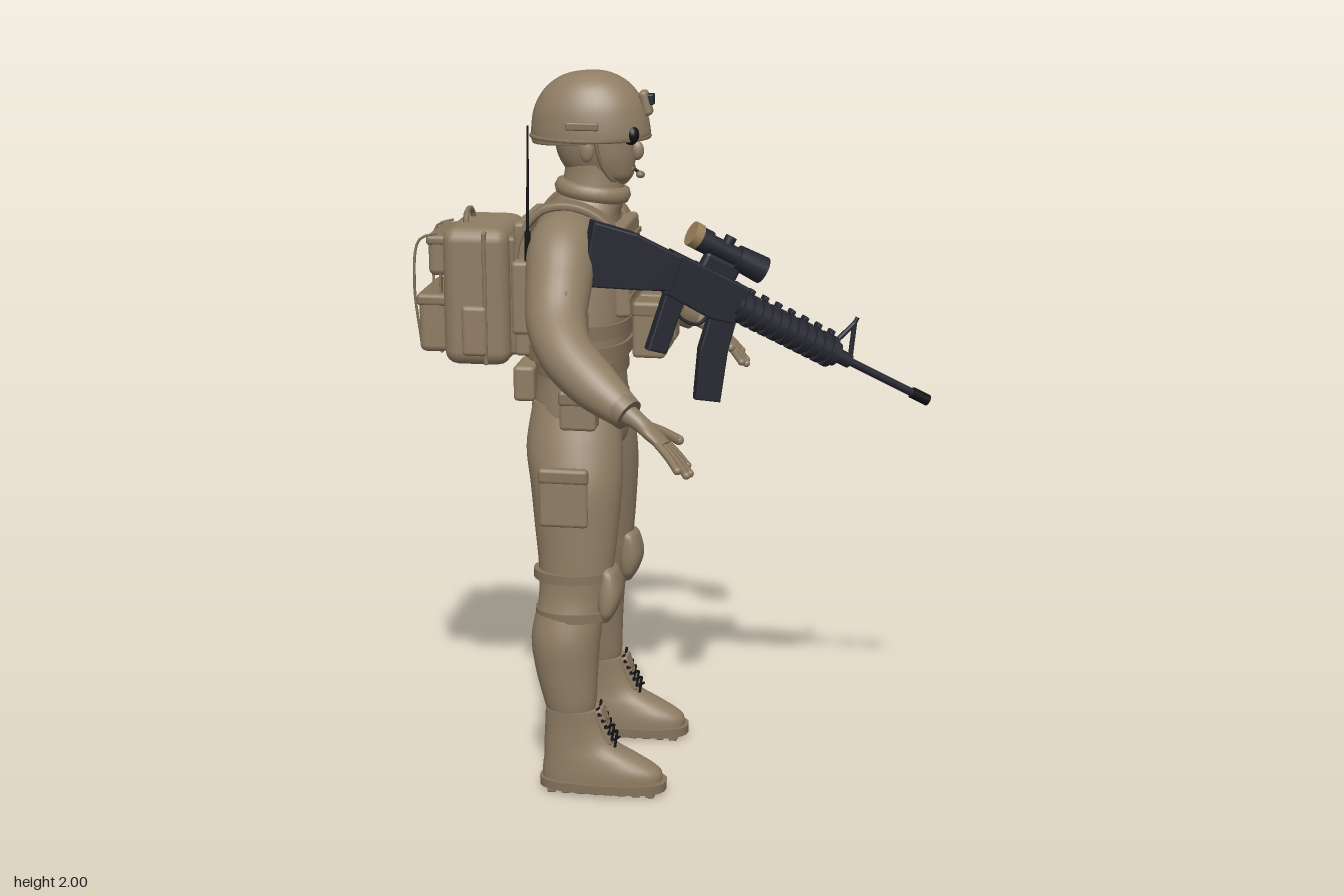
import * as THREE from 'three';
import { RoundedBoxGeometry } from 'three/addons/geometries/RoundedBoxGeometry.js';

const V = (x, y, z) => new THREE.Vector3(x, y, z);
const mat = (name, color) => { const m = new THREE.MeshStandardMaterial({ color }); m.name = name; return m; };

// Smooth body through sections [x, y, z, radiusA, radiusB]; A lies along ref.
// With level = true every ring stays horizontal. pow > 2 makes rings boxier.
function loft(sections, { level = false, ref = V(1, 0, 0), pow = 2, steps = 5, n = 28 } = {}) {
  const path = new THREE.CatmullRomCurve3(sections.map(s => V(s[0], s[1], s[2])), false, 'centripetal');
  const radii = new THREE.CatmullRomCurve3(sections.map((s, i) => V(s[3], s[4], i * 0.1)), false, 'centripetal');
  const count = (sections.length - 1) * steps, pos = [], idx = [];
  const shape = c => Math.sign(c) * Math.abs(c) ** (2 / pow);
  for (let i = 0; i <= count; i++) {
    const p = path.getPoint(i / count), r = radii.getPoint(i / count);
    const up = sections[sections.length - 1][1] > sections[0][1] ? 1 : -1;
    const t = level ? V(0, up, 0) : path.getTangent(i / count);
    const a = ref.clone().addScaledVector(t, -ref.dot(t)).normalize(), b = t.clone().cross(a);
    for (let j = 0; j < n; j++) {
      const q = j / n * Math.PI * 2;
      pos.push(...p.clone().addScaledVector(a, shape(Math.cos(q)) * r.x).addScaledVector(b, shape(Math.sin(q)) * r.y).toArray());
      if (i < count) {
        const k = i * n + j, l = i * n + (j + 1) % n;
        idx.push(k, l, k + n, l, l + n, k + n);
      }
    }
  }
  // End caps with their own rings, so the rims stay crisp
  for (const end of [0, count]) {
    const base = pos.length / 3;
    pos.push(...pos.slice(end * n * 3, (end + 1) * n * 3), ...path.getPoint(end / count).toArray());
    for (let j = 0; j < n; j++) {
      const k = base + j, l = base + (j + 1) % n;
      idx.push(base + n, ...(end ? [k, l] : [l, k]));
    }
  }
  const g = new THREE.BufferGeometry();
  g.setAttribute('position', new THREE.Float32BufferAttribute(pos, 3));
  g.setIndex(idx);
  g.computeVertexNormals();
  return g;
}

export function createModel() {
  const tan = mat('tan cloth', 0x8f7d64), strapTan = mat('strap tan', 0x85745c);
  const gun = mat('gunmetal', 0x262731), black = mat('black', 0x121216), brass = mat('scope tan', 0x9a8058);
  const root = new THREE.Group();
  let parent = root;
  const add = (name, geo, m = tan) => { const o = new THREE.Mesh(geo, m); o.name = name; parent.add(o); return o; };
  const box = (name, w, h, d, x, y, z, m = tan, r = 0.012) => {
    const o = add(name, new RoundedBoxGeometry(w, h, d, 2, Math.min(r, w / 2.1, h / 2.1, d / 2.1)), m);
    o.position.set(x, y, z); return o;
  };
  const rod = (name, a, b, r, m = tan, r2 = r, n = 12) => {
    const o = add(name, new THREE.CylinderGeometry(r2, r, a.distanceTo(b), n), m);
    o.position.copy(a).lerp(b, 0.5);
    o.quaternion.setFromUnitVectors(V(0, 1, 0), b.clone().sub(a).normalize()); return o;
  };
  const wire = (name, pts, r, m = tan) => add(name, new THREE.TubeGeometry(new THREE.CatmullRomCurve3(pts), 20, r, 6), m);
  const ball = (name, rx, ry, rz, x, y, z, m = tan) => {
    const o = add(name, new THREE.SphereGeometry(1, 28, 18), m);
    o.scale.set(rx, ry, rz); o.position.set(x, y, z); return o;
  };

  // Torso and neck
  add('torso', loft([[-.26, .92, 0, .07, .05], [-.265, .98, 0, .13, .15], [-.265, 1.06, 0, .135, .178], [-.26, 1.2, 0, .122, .165],
    [-.265, 1.38, 0, .13, .165], [-.265, 1.5, 0, .135, .195], [-.26, 1.6, 0, .11, .16], [-.235, 1.65, 0, .095, .09], [-.22, 1.72, 0, .082, .072],
    [-.22, 1.8, 0, .08, .07]], { level: true, n: 36 }));
  const collar = add('collar', new THREE.TorusGeometry(.078, .018, 8, 28));
  collar.rotation.set(Math.PI / 2, -.15, 0); collar.scale.set(1.1, .98, 1.3); collar.position.set(-.225, 1.675, 0);

  // Vest with waist bands, chest webbing and magazine pouches
  add('vest', loft([[-.265, 1.22, 0, .138, .172], [-.267, 1.3, 0, .145, .178], [-.267, 1.42, 0, .145, .172], [-.27, 1.52, 0, .14, .165]],
    { level: true, pow: 2.7, n: 36 }));
  for (const y of [1.25, 1.31]) add('waistBand', loft([[-.266, y - .02, 0, .149, .182], [-.266, y + .02, 0, .151, .184]], { level: true, pow: 2.7, n: 36 }), strapTan);
  box('chestPlate', .045, .25, .24, -.132, 1.47, 0).rotation.z = .07;
  box('backPlate', .045, .37, .3, -.395, 1.42, 0);
  for (let i = 0; i < 5; i++) box('webbing', .012, .016, .22, -.107 - i * .002, 1.4 + i * .037, 0, strapTan, .004);
  box('chestPouch', .03, .06, .1, -.105, 1.5, -.05);
  for (const z of [-.1, 0, .1]) {
    box('magazinePouch', .09, .14, .082, -.05, 1.31, z);
    box('pouchFlap', .1, .045, .086, -.046, 1.375, z, strapTan);
    box('pouchTab', .012, .05, .03, .004, 1.345, z, strapTan, .004);
  }

  // Head, face and helmet
  ball('skull', .108, .125, .084, -.22, 1.82, 0);
  add('jaw', loft([[-.165, 1.695, 0, .035, .03], [-.18, 1.72, 0, .068, .058], [-.19, 1.77, 0, .083, .075], [-.195, 1.84, 0, .085, .08]], { level: true }));
  ball('nose', .02, .027, .014, -.103, 1.785, 0);
  box('mouth', .012, .012, .045, -.115, 1.737, 0, strapTan, .005);
  const shell = [[.001, .155], [.06, .147], [.112, .117], [.146, .07], [.16, .02], [.163, -.025], [.154, -.027]].map(p => new THREE.Vector2(p[0], p[1]));
  const helmet = add('helmet', new THREE.LatheGeometry(new THREE.SplineCurve(shell.reverse()).getPoints(30), 44));
  helmet.material.side = THREE.DoubleSide;
  helmet.scale.z = .76; helmet.position.set(-.23, 1.845, 0); helmet.rotation.z = .08;
  const rim = add('helmetRim', new THREE.TorusGeometry(.161, .006, 6, 44), strapTan);
  rim.rotation.set(Math.PI / 2, -.08, 0, 'ZYX'); rim.rotation.set(Math.PI / 2, .08, 0); rim.scale.y = .76; rim.position.set(-.23, 1.824, 0);
  box('helmetMount', .025, .07, .045, -.077, 1.915, 0).rotation.z = .25;
  box('mountClip', .022, .03, .03, -.065, 1.925, 0, gun, .005);
  box('goggleBridge', .02, .022, .05, -.103, 1.842, 0, black, .006);
  for (const s of [-1, 1]) {
    const lens = ball('goggleLens', .024, .031, .045, -.113, 1.838, s * .043, black); lens.rotation.y = s * .35;
    rod('goggleArm', V(-.125, 1.845, s * .078), V(-.23, 1.835, s * .09), .007, black);
    ball('ear', .02, .032, .012, -.225, 1.795, s * .084);
    wire('chinStrap', [V(-.2, 1.84, s * .1), V(-.19, 1.77, s * .085), V(-.165, 1.715, s * .055), V(-.14, 1.695, 0)], .006, strapTan);
    box('helmetRail', .09, .022, .012, -.23, 1.865, s * .123, strapTan, .005);
  }
  wire('microphoneBoom', [V(-.2, 1.79, -.09), V(-.14, 1.735, -.08), V(-.1, 1.715, -.035)], .005, gun);
  ball('microphone', .012, .01, .016, -.098, 1.714, -.03, strapTan);

  for (const s of [-1, 1]) {
    // Arms
    add('sleeve', loft([[-.275, 1.575, s * .1, .085, .07], [-.272, 1.545, s * .2, .093, .088], [-.265, 1.47, s * .285, .088, .083], [-.255, 1.39, s * .37, .08, .072],
      [-.215, 1.325, s * .445, .073, .069], [-.13, 1.26, s * .51, .066, .06], [-.04, 1.205, s * .56, .045, .043]], { steps: 8 }));
    rod('cuff', V(-.055, 1.214, s * .552), V(-.03, 1.199, s * .565), .047, strapTan, .044, 20);
    box('shoulderPatch', .075, .085, .012, -.26, 1.49, s * .355, strapTan, .005).rotation.set(s * -.85, 0, 0);
    // Hands
    add('palm', loft([[-.045, 1.208, s * .558, .03, .028], [0, 1.18, s * .568, .022, .027], [.03, 1.157, s * .575, .019, .04], [.065, 1.128, s * .585, .014, .036]],
      { ref: V(.6, .8, 0) }));
    for (let f = 0; f < 4; f++) {
      const o = (f - 1.5) * .021, reach = [.9, 1.05, 1, .75][f];
      wire('finger', [V(.05, 1.14, s * (.583 + o * .9)), V(.05 + .038 * reach, 1.14 - .036 * reach, s * (.587 + o * 1.2)),
        V(.05 + .075 * reach, 1.14 - .082 * reach, s * (.59 + o * 1.5))], .0105);
      ball('fingertip', .011, .011, .011, .05 + .075 * reach, 1.14 - .082 * reach, s * (.59 + o * 1.5));
    }
    wire('thumb', [V(.005, 1.175, s * .56), V(.045, 1.15, s * .525), V(.09, 1.12, s * .5)], .013);
    ball('thumbTip', .013, .013, .013, .09, 1.12, s * .5);

    // Trousers, with a fuller calf bloused over the boot
    add('trouserLeg', loft([[-.262, 1.1, s * .08, .12, .085], [-.262, .98, s * .107, .134, .103], [-.253, .88, s * .13, .128, .108], [-.25, .76, s * .148, .117, .095],
      [-.25, .64, s * .165, .104, .081], [-.258, .56, s * .175, .096, .076], [-.275, .45, s * .192, .097, .087], [-.272, .35, s * .2, .087, .076],
      [-.262, .26, s * .207, .073, .062], [-.26, .21, s * .208, .06, .05]], { level: true }));
    box('cargoPocket', .135, .16, .024, -.27, .86, s * .235);
    box('cargoFlap', .14, .045, .03, -.27, .925, s * .235, strapTan);
    // Knee pad and its straps
    const pad = add('kneePad', loft([[-.165, .5, s * .18, .014, .035], [-.158, .53, s * .177, .026, .055], [-.152, .58, s * .172, .034, .06],
      [-.155, .64, s * .167, .022, .052], [-.162, .655, s * .166, .012, .035]], { level: true, pow: 2.6 }));
    for (const [y, c, rx, rz] of [[.52, .18, .105, .084], [.63, .167, .111, .088]])
      add('kneeStrap', loft([[-.257, y - .013, s * c, rx, rz], [-.257, y + .013, s * c, rx, rz]], { level: true }), strapTan);

    // Boots with treaded sole and laces
    add('bootUpper', loft([[-.172, .03, s * .208, .172, .066], [-.175, .065, s * .208, .168, .066], [-.2, .1, s * .208, .138, .062], [-.235, .14, s * .208, .102, .056],
      [-.25, .19, s * .208, .084, .055], [-.256, .245, s * .208, .075, .058]], { level: true, pow: 2.4 }));
    add('bootSole', loft([[-.17, .012, s * .208, .18, .072], [-.17, .038, s * .208, .181, .073]], { level: true, pow: 2.6 }), strapTan);
    for (let i = 0; i < 8; i++) box('tread', .025, .02, .1, -.31 + i * .04, .01, s * .208, strapTan, .004);
    box('bootTongue', .025, .11, .06, -.165, .195, s * .208, tan, .008).rotation.z = .32;
    for (let i = 0; i < 6; i++) for (const k of [-1, 1]) {
      const x = -.13 - i * .009, y = .145 + i * .018;
      rod('lace', V(x, y, s * .208 - k * .036), V(x - .006, y + .018, s * .208 + k * .036), .004, black, .004, 6);
    }

    // Shoulder straps from pack to vest
    add('shoulderStrap', loft([[-.41, 1.45, s * .125, .03, .008], [-.4, 1.56, s * .125, .03, .01], [-.34, 1.638, s * .12, .03, .012], [-.25, 1.648, s * .115, .03, .012],
      [-.16, 1.6, s * .112, .03, .01], [-.125, 1.5, s * .11, .028, .008]], { ref: V(0, 0, 1), pow: 4 }), strapTan);
    box('sidePouch', .09, .1, .04, -.25, 1.33, s * .19);
    // Hip pouches
    box('hipPouch', .1, .11, .07, -.225, 1.135 + (s < 0 ? .045 : -.02), s * .225);
    box('hipPouchFlap', .106, .045, .076, -.225, 1.17 + (s < 0 ? .045 : -.02), s * .225, strapTan);
    box('packSidePouch', .07, .14, .03, -.53, 1.3, s * .14);
    box('packStrap', .006, .33, .022, -.634, 1.39, s * .09, strapTan, .002);
    wire('packCord', [V(-.64, 1.56, s * .1), V(-.69, 1.54, s * .1), V(-.705, 1.42, s * .105), V(-.69, 1.25, s * .1)], .004, strapTan);
  }
  add('belt', loft([[-.26, 1.175, 0, .13, .174], [-.26, 1.215, 0, .13, .174]], { level: true }), strapTan);
  box('rearHipPouch', .06, .1, .13, -.4, 1.15, .06);

  // Backpack, rear pouches, radio and aerial
  box('backpack', .185, .385, .285, -.53, 1.39, 0, tan, .04);
  box('packFrame', .05, .33, .2, -.43, 1.39, 0, strapTan);
  box('packSeam', .012, .37, .295, -.5, 1.39, 0, strapTan, .005);
  box('lowerPackPouch', .08, .155, .23, -.655, 1.305, 0, tan, .02);
  box('lowerPackFlap', .086, .035, .235, -.657, 1.375, 0, strapTan);
  box('upperPackPouch', .055, .11, .21, -.64, 1.495, 0, tan, .02);
  box('upperPackFlap', .06, .03, .215, -.642, 1.54, 0, strapTan);
  wire('carryHandle', [V(-.57, 1.57, -.05), V(-.572, 1.605, -.03), V(-.572, 1.605, .03), V(-.57, 1.57, .05)], .008, strapTan);
  box('radioPouch', .075, .2, .055, -.365, 1.42, .225);
  rod('aerialBase', V(-.36, 1.5, .232), V(-.357, 1.6, .236), .008, black);
  rod('aerial', V(-.357, 1.6, .236), V(-.35, 1.885, .25), .004, black, .003, 8);

  // Rifle, built along its own x axis from butt to muzzle
  const rifle = new THREE.Group();
  rifle.name = 'rifle'; rifle.position.set(-.18, 1.6, .23); rifle.rotation.set(0, .44, -.504, 'YXZ');
  root.add(rifle); parent = rifle;
  const plate = (name, pts, depth, m = gun) => {
    const g = new THREE.ExtrudeGeometry(new THREE.Shape(pts.map(p => new THREE.Vector2(p[0], p[1]))),
      { depth: depth - .012, bevelThickness: .006, bevelSize: .005, bevelSegments: 2 });
    return add(name, g.translate(0, 0, .006 - depth / 2), m);
  };
  const along = (name, s0, s1, t, r, m = gun, r2 = r) => rod(name, V(s0, t, 0), V(s1, t, 0), r, m, r2, 20);
  plate('stock', [[-.015, .025], [.1, .045], [.24, .045], [.26, -.04], [.18, -.075], [.055, -.125], [.03, -.12]], .056);
  plate('receiver', [[.22, .05], [.46, .05], [.46, -.045], [.4, -.06], [.25, -.055]], .05);
  plate('pistolGrip', [[.255, -.045], [.305, -.045], [.33, -.2], [.285, -.21]], .04);
  plate('magazine', [[.395, -.03], [.465, -.03], [.485, -.12], [.535, -.255], [.475, -.275], [.42, -.15]], .034);
  wire('triggerGuard', [V(.3, -.05, 0), V(.32, -.095, 0), V(.38, -.095, 0), V(.4, -.05, 0)], .005, gun);
  along('handguard', .45, .785, 0, .034);
  for (let i = 0; i < 11; i++) {
    along('handguardRib', .462 + i * .029, .478 + i * .029, 0, .045);
    box('railTooth', .014, .014, .03, .3 + i * .044, .05, 0, gun, .003);
  }
  along('barrel', .78, 1.09, 0, .011);
  along('muzzle', 1.045, 1.1, 0, .016, black);
  along('gasBlock', .785, .83, 0, .02);
  for (const x of [.76, .825]) rod('frontSightLeg', V(x, .015, 0), V(.79, .1, 0), .007, gun);
  rod('frontSightPost', V(.79, .09, 0), V(.79, .118, 0), .006, gun);
  box('scopeMount', .11, .05, .035, .36, .07, 0, gun);
  along('scopeTube', .25, .46, .115, .026);
  along('scopeFront', .39, .475, .115, .034, gun, .038);
  along('scopeEyepiece', .25, .3, .115, .033);
  along('scopeLens', .473, .478, .115, .03, black);
  along('scopeRearCap', .243, .268, .117, .035, brass);
  rod('scopeDial', V(.35, .13, 0), V(.35, .158, 0), .016, gun);
  return root;
}
